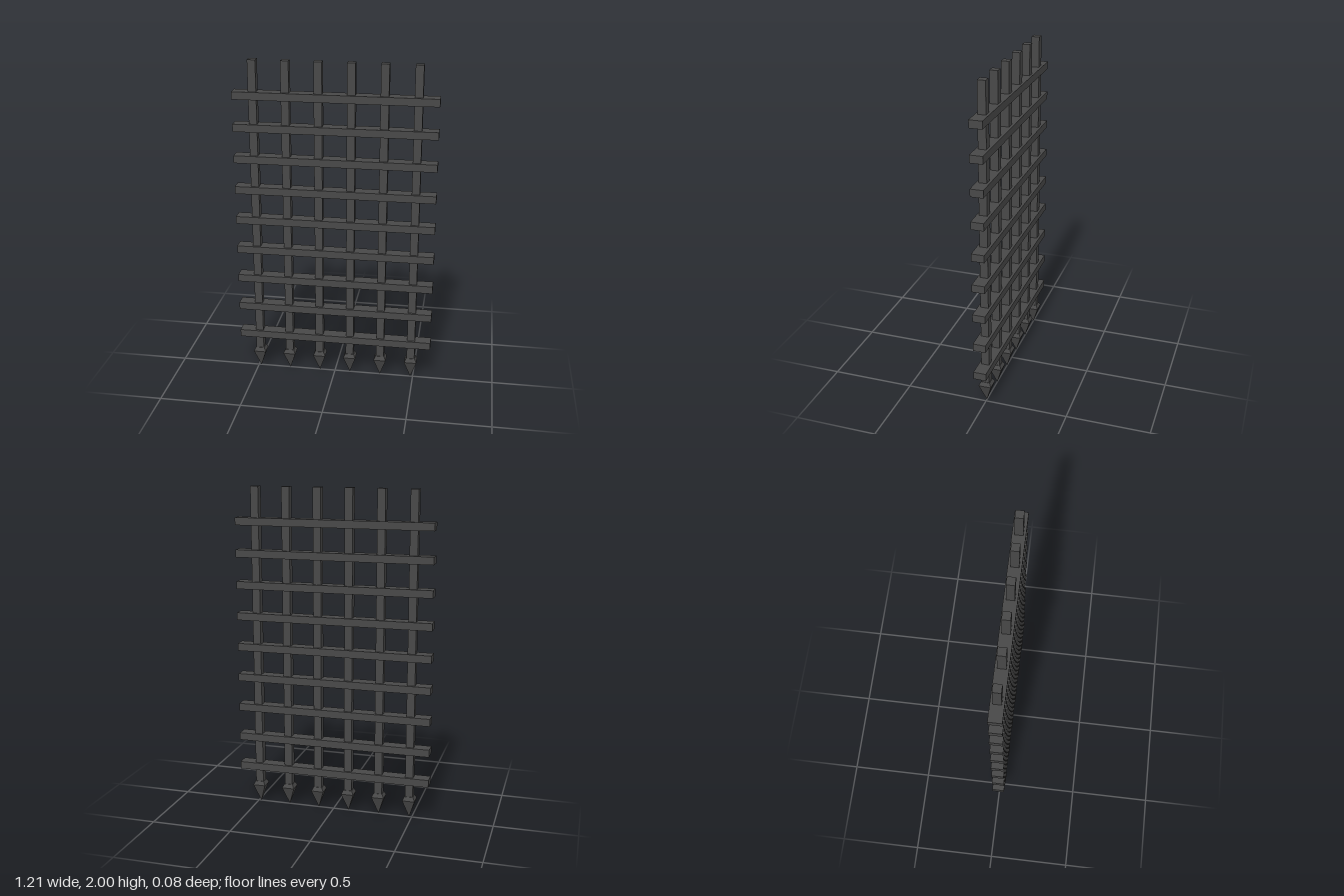
import * as THREE from 'three';

const BARS = 6, RAILS = 9, PITCH = 0.1935;
const BAR_WIDTH = 0.048, RAIL_LENGTH = 1.21, RAIL_HEIGHT = 0.046, RAIL_DEPTH = 0.077;
const SPIKE_TOP = 0.14;

// Four-sided solid with flat sides, from [half width, height] pairs running upwards
function squareLathe(profile) {
  const points = profile.map(([half, y]) => new THREE.Vector2(half * Math.SQRT2, y));
  return new THREE.LatheGeometry(points, 4, Math.PI / 4);
}

export function createModel() {
  const model = new THREE.Group();
  model.name = 'portcullis';
  const iron = new THREE.MeshStandardMaterial({ color: 0x484848, flatShading: true });

  const barLength = 2 - SPIKE_TOP + 0.01;
  const barGeometry = new THREE.BoxGeometry(BAR_WIDTH, barLength, BAR_WIDTH);
  const spikeGeometry = squareLathe([[0, 0], [0.0385, 0.116], [0.027, SPIKE_TOP], [0, SPIKE_TOP]]);
  const railGeometry = new THREE.BoxGeometry(RAIL_LENGTH, RAIL_HEIGHT, RAIL_DEPTH);

  function add(name, geometry, x, y) {
    const mesh = new THREE.Mesh(geometry, iron);
    mesh.name = name;
    mesh.position.set(x, y, 0);
    model.add(mesh);
  }

  // Upright bars, each ending in a pointed spike
  for (let i = 0; i < BARS; i++) {
    const x = (i - (BARS - 1) / 2) * PITCH;
    add(`verticalBar${i + 1}`, barGeometry, x, 2 - barLength / 2);
    add(`spike${i + 1}`, spikeGeometry, x, 0);
  }

  // Horizontal rails enclosing the bars
  for (let i = 0; i < RAILS; i++) {
    add(`crossRail${i + 1}`, railGeometry, 0, 0.242 + i * PITCH);
  }

  return model;
}
